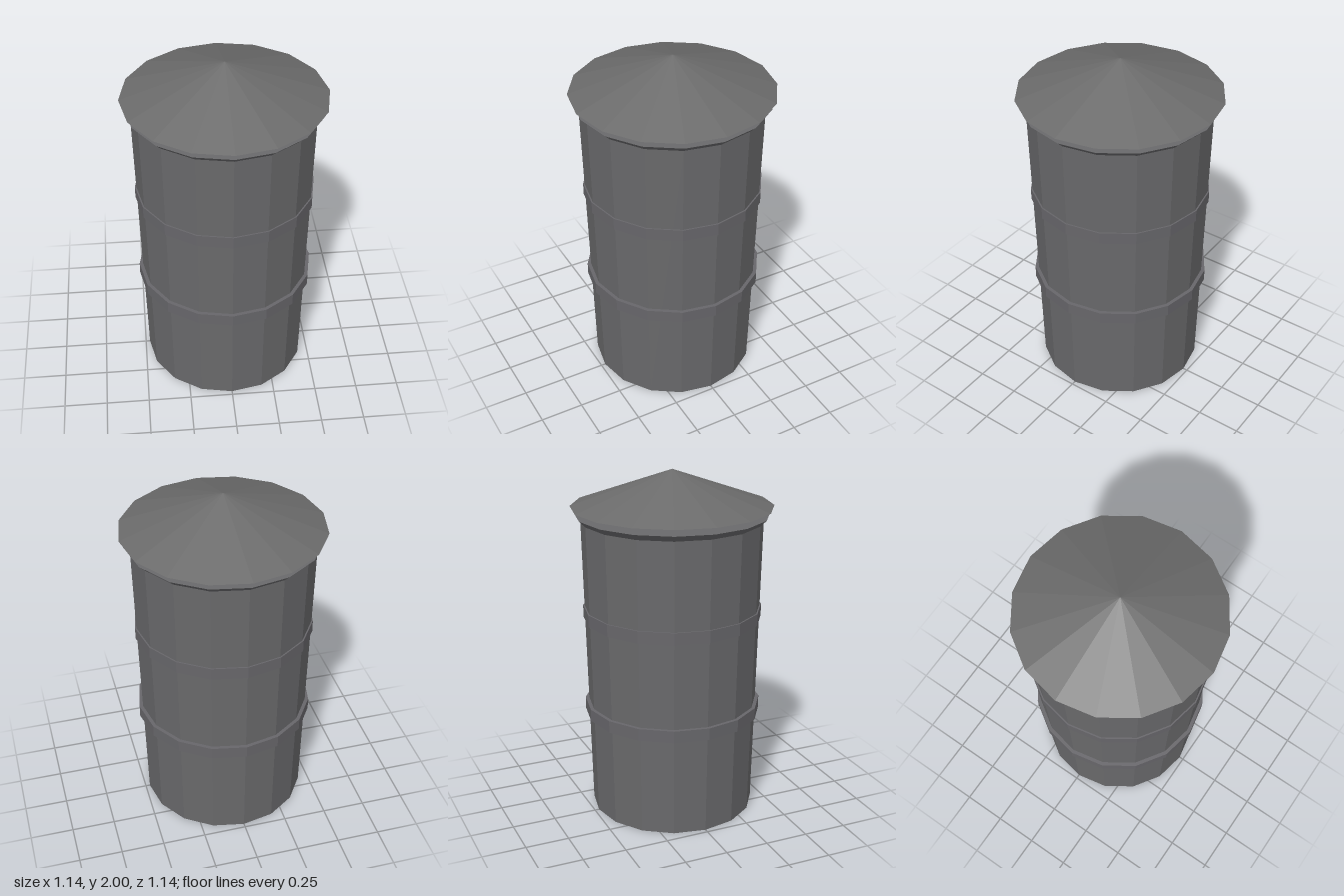
import * as THREE from 'three';

const SIDES = 16;

export function createModel() {
  const model = new THREE.Group();
  model.name = 'bin';

  const bodyGrey = new THREE.MeshStandardMaterial({ color: 0x69696b, flatShading: true });
  bodyGrey.name = 'body grey';
  const bandGrey = new THREE.MeshStandardMaterial({ color: 0x67666a, flatShading: true });
  bandGrey.name = 'band grey';
  const lidGrey = new THREE.MeshStandardMaterial({ color: 0x6b6b6b, flatShading: true });
  lidGrey.name = 'lid grey';

  // Capped sixteen-sided section between two heights
  function section(name, bottomRadius, topRadius, y0, y1, material) {
    const geometry = new THREE.CylinderGeometry(topRadius, bottomRadius, y1 - y0, SIDES);
    geometry.translate(0, (y0 + y1) / 2, 0);
    const mesh = new THREE.Mesh(geometry, material);
    mesh.name = name;
    model.add(mesh);
  }

  // Tapered drum with a flared rim
  section('body', 0.475, 0.513, 0, 1.72, bodyGrey);
  section('rim', 0.513, 0.548, 1.72, 1.755, bodyGrey);

  // Two raised hoops
  section('lowerBand', 0.51, 0.51, 0.58, 0.65, bandGrey);
  section('upperBand', 0.51, 0.51, 1.15, 1.22, bandGrey);

  // Conical lid, hovering just above the rim
  const lidGeometry = new THREE.ConeGeometry(0.57, 0.205, SIDES);
  lidGeometry.translate(0, 1.8975, 0);
  const lid = new THREE.Mesh(lidGeometry, lidGrey);
  lid.name = 'lid';
  model.add(lid);

  return model;
}
